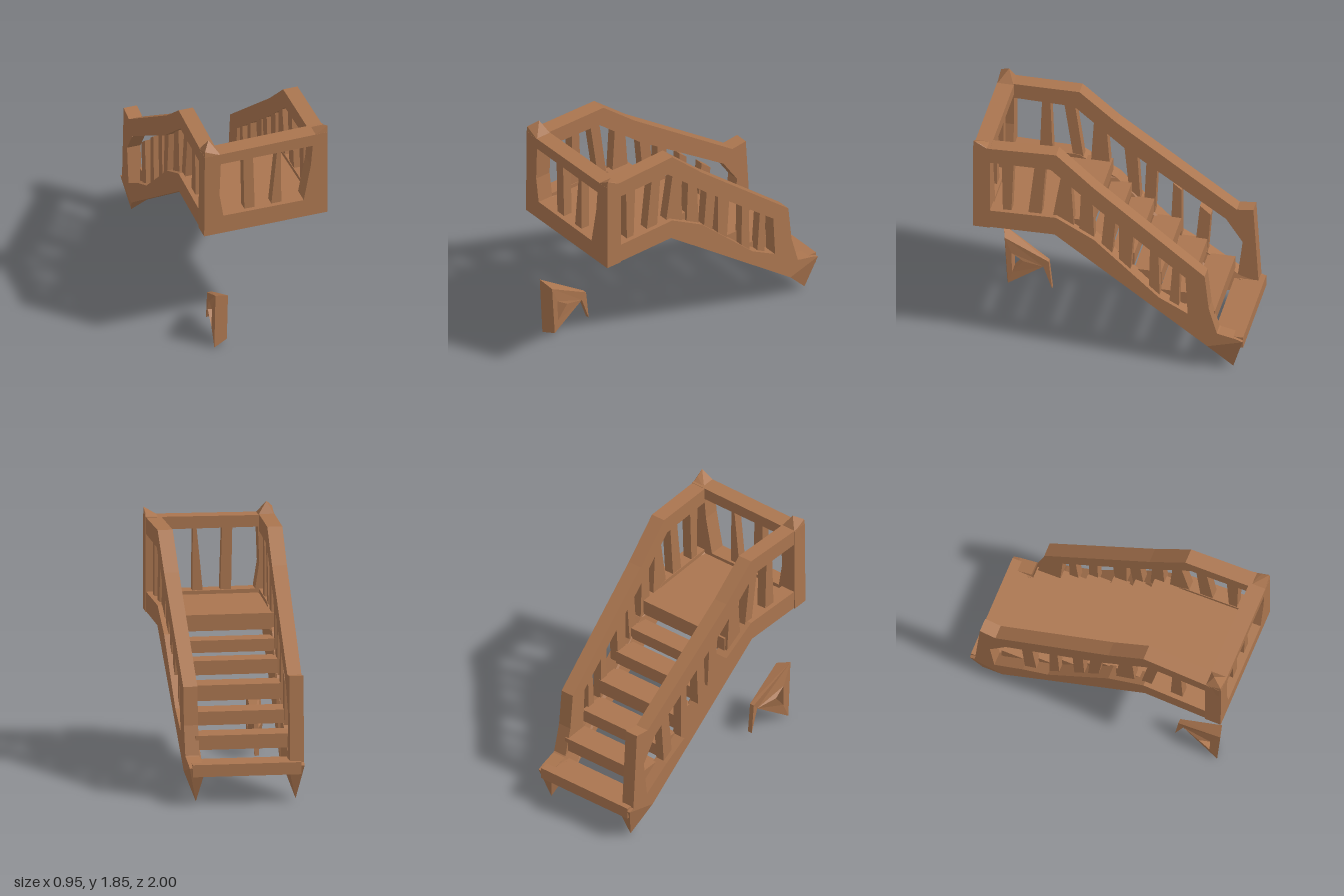
import * as THREE from 'three';
import { ConvexGeometry } from 'three/addons/geometries/ConvexGeometry.js';

const wood = new THREE.MeshStandardMaterial({ color: 0xaa754f, flatShading: true });
wood.name = 'wood';

const toShape = (pts) => new THREE.Shape(pts.map(([a, b]) => new THREE.Vector2(a, b)));
const hull = (pts) => new ConvexGeometry(pts.map((p) => new THREE.Vector3(...p)));

function add(parent, name, geometry) {
  const mesh = new THREE.Mesh(geometry, wood);
  mesh.name = name;
  parent.add(mesh);
  return mesh;
}

// Moves each vertex by a rule that edits it in place
function reshape(geometry, rule) {
  const p = geometry.attributes.position;
  const v = new THREE.Vector3();
  for (let i = 0; i < p.count; i++) {
    rule(v.fromBufferAttribute(p, i));
    p.setXYZ(i, v.x, v.y, v.z);
  }
  geometry.computeVertexNormals();
  return geometry;
}

// Extrudes a (z, y) outline between two x values
function sidePlate(outline, x0, x1, holes = []) {
  const shape = toShape(outline);
  shape.holes = holes.map(toShape);
  return new THREE.ExtrudeGeometry(shape, { depth: x1 - x0, bevelEnabled: false })
    .rotateY(-Math.PI / 2).translate(x1, 0, 0);
}

// Extrudes an (x, y) outline between two z values
function frontPlate(outline, z0, z1, holes = []) {
  const shape = toShape(outline);
  shape.holes = holes.map(toShape);
  return new THREE.ExtrudeGeometry(shape, { depth: z1 - z0, bevelEnabled: false }).translate(0, 0, z0);
}

function box(x0, x1, y0, y1, z0, z1) {
  return new THREE.BoxGeometry(x1 - x0, y1 - y0, z1 - z0)
    .translate((x0 + x1) / 2, (y0 + y1) / 2, (z0 + z1) / 2);
}

// Heights of the rail and stringer where balusters are set in
const railY = (z) => (z > 0.4 ? 1.68 : 1.68 + (z - 0.4) * 0.85);
const stringerY = (z) => (z > 0.38 ? 1.18 : 1.18 + (z - 0.38) * 0.75);

const STRINGER = [
  [0.99, 1.065], [0.39, 1.06], [-0.74, 0.21], [-1, 0.28], [-0.95, 0.3], [-0.82, 0.33],
  [-0.58, 0.49], [-0.38, 0.6], [0.1, 1.05], [0.38, 1.21], [0.99, 1.21],
];

const SIDES = [
  {
    name: 'left', sign: 1,
    rail: [[0.98, 1.76], [0.38, 1.77], [0.1, 1.51], [-0.72, 0.83], [-0.58, 0.8], [0.05, 1.31], [0.42, 1.635], [0.98, 1.64]],
    post: [[-0.57, 0.95], [-0.72, 0.83], [-0.75, 0.55], [-0.82, 0.3], [-0.6, 0.38]],
    // top z pair, bottom z pair
    balusters: [
      [0.79, 0.7, 0.78, 0.72], [0.54, 0.46, 0.6, 0.5], [0.34, 0.28, 0.42, 0.25], [0.2, 0.12, 0.22, 0.1],
      [0.02, -0.06, 0.06, -0.02], [-0.08, -0.19, -0.08, -0.16], [-0.31, -0.37, -0.3, -0.38], [-0.48, -0.53, -0.45, -0.52],
    ],
  },
  {
    name: 'right', sign: -1,
    rail: [[0.98, 1.76], [0.38, 1.77], [0.1, 1.54], [-0.8, 0.91], [-0.8, 0.76], [0.05, 1.33], [0.42, 1.635], [0.98, 1.64]],
    post: [[-0.78, 0.91], [-0.92, 0.93], [-0.96, 0.28], [-0.8, 0.3], [-0.84, 0.63], [-0.72, 0.81]],
    balusters: [
      [0.66, 0.6, 0.68, 0.58], [0.5, 0.42, 0.42, 0.34], [0.27, 0.18, 0.3, 0.14], [0.05, -0.05, 0, -0.08],
      [-0.12, -0.2, -0.1, -0.18], [-0.32, -0.38, -0.3, -0.38], [-0.52, -0.6, -0.48, -0.57],
    ],
  },
];

function buildSide({ name, sign, rail, post, balusters }) {
  const side = new THREE.Group();
  side.name = `${name}Side`;
  const plate = (part, outline, inner, outer) => {
    const [a, b] = sign > 0 ? [inner, outer] : [-outer, -inner];
    return add(side, part, sidePlate(outline, a, b));
  };

  // Stringer, whose lower inner edge leans inwards along the flight
  const stringer = plate('stringer', STRINGER, 0.36, 0.475);
  reshape(stringer.geometry, (v) => {
    const onUnderside = v.z < 0.4 && v.y - 0.75 * v.z < 0.775;
    if (onUnderside && Math.abs(v.x) < 0.4) v.x = sign * 0.315;
  });
  plate('handrail', rail, 0.36, 0.475);
  plate('newelPost', post, 0.36, 0.475);
  for (const [t0, t1, b0, b1] of balusters) {
    plate('baluster', [
      [t0, railY(t0)], [t1, railY(t1)], [b1, stringerY(b1) - 0.04], [b0, stringerY(b0) - 0.04],
    ], 0.365, 0.44);
  }

  // Pointed foot under the end of the stringer
  const foot = [[sign * 0.41, 0.02, -0.92]];
  for (const x of [0.34 * sign, 0.475 * sign]) {
    foot.push([x, 0.21, -0.74], [x, 0.28, -1], [x, 0.31, -0.82]);
  }
  add(side, 'pointedFoot', hull(foot));

  // The sides close in slightly towards the foot of the stairs
  for (const m of side.children) reshape(m.geometry, (v) => { v.x *= 0.945 + 0.055 * v.z; });
  return side;
}

export function createModel() {
  const model = new THREE.Group();
  model.name = 'staircase';
  SIDES.forEach((s) => model.add(buildSide(s)));

  // Landing floor
  add(model, 'landingFloor', box(-0.4, 0.4, 1.06, 1.18, 0.14, 0.95));

  // Front balustrade
  const front = new THREE.Group();
  front.name = 'frontBalustrade';
  model.add(front);
  add(front, 'frontFrame', frontPlate(
    [[-0.478, 1.06], [0.475, 1.06], [0.475, 1.765], [-0.473, 1.755]],
    0.87, 0.995,
    [[[-0.35, 1.67], [0.36, 1.67], [0.345, 1.5], [0.29, 1.205], [-0.33, 1.21], [-0.36, 1.4]]],
  ));
  add(front, 'frontBaluster', frontPlate([[-0.165, 1.69], [-0.155, 1.18], [-0.075, 1.18], [-0.09, 1.69]], 0.89, 0.96));
  add(front, 'frontBaluster', frontPlate([[0.1, 1.69], [0.05, 1.18], [0.13, 1.18], [0.125, 1.69]], 0.89, 0.96));

  // Peaked caps on the corner posts
  const capBase = (x0, x1) => [x0, x1].flatMap((x) => [[x, 1.75, 0.87], [x, 1.75, 0.995]]);
  add(front, 'rightPostCap', hull([...capBase(-0.473, -0.35), [-0.47, 1.8, 0.99], [-0.42, 1.85, 0.92]]));
  add(front, 'leftPostCap', hull([...capBase(0.36, 0.475), [0.475, 1.82, 0.99], [0.47, 1.79, 0.93]]));

  // Bottom step across the full width, then the treads: z range, y range
  add(model, 'bottomStep', box(-0.4, 0.4, 0.215, 0.305, -1, -0.78));
  const treads = [
    [-0.78, -0.58, 0.37, 0.475], [-0.575, -0.37, 0.51, 0.61],
    [-0.38, -0.18, 0.65, 0.765], [-0.18, -0.01, 0.8, 0.905], [-0.01, 0.14, 0.93, 1.02],
  ];
  for (const [z0, z1, y0, y1] of treads) add(model, 'tread', box(-0.35, 0.35, y0, y1, z0, z1));

  // Loose triangular bracket, narrowing towards its short leg
  const bracket = sidePlate(
    [[0.95, 0.48], [0.595, 0.265], [0.57, 0.03], [0.635, 0.215], [0.925, 0.005]],
    -0.375, -0.268,
    [[[0.87, 0.31], [0.865, 0.14], [0.78, 0.25]]],
  );
  add(model, 'supportBracket', reshape(bracket, (v) => {
    const inner = v.x > -0.3;
    if (v.z < 0.65) v.x = inner ? -0.28 : -0.315;
    else if (inner && v.z > 0.9) {
      v.y += v.y > 0.25 ? -0.04 : 0.035;
      v.z -= 0.03;
    }
  }));

  return model;
}
